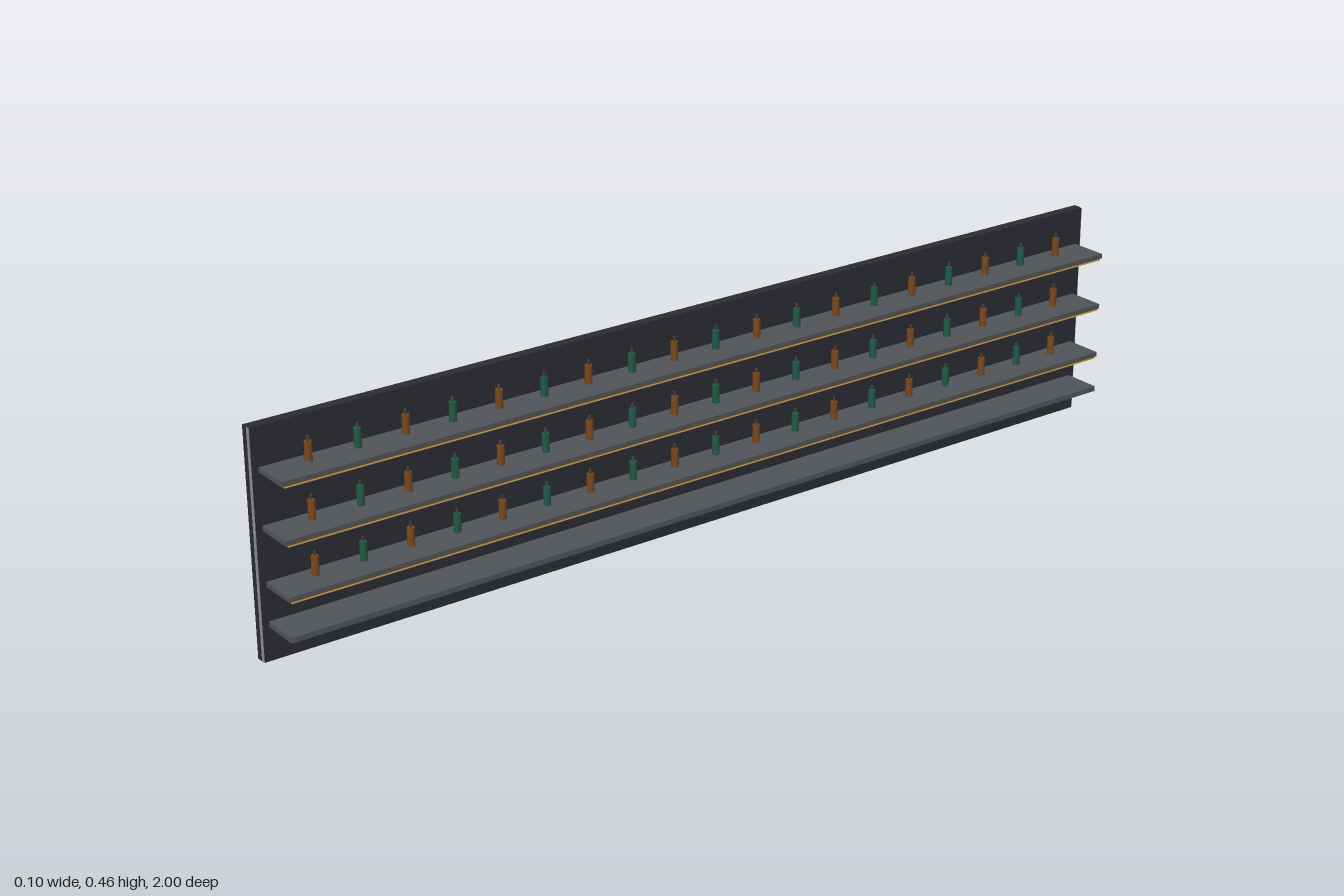
import * as THREE from 'three';

const mat = (name, color) => Object.assign(new THREE.MeshStandardMaterial({ color }), { name });

export function createModel() {
  const wallMat = mat('charcoal wall', 0x2b2b34);
  const trimMat = mat('light grey trim', 0x8f8f96);
  const shelfMat = mat('slate shelf', 0x505458);
  const lightMat = mat('amber light', 0xe0a040);
  const brownMat = mat('brown glass', 0x7a481c);
  const greenMat = mat('green glass', 0x1f5a44);
  const neckMat = mat('dark neck', 0x45403c);

  const model = new THREE.Group();
  model.name = 'wallShelf';

  // Box given by its limits in x and y and its length, centred on z
  const box = (name, x0, x1, y0, y1, length, material, z = 0, parent = model) => {
    const mesh = new THREE.Mesh(new THREE.BoxGeometry(x1 - x0, y1 - y0, length), material);
    mesh.name = name;
    mesh.position.set((x0 + x1) / 2, (y0 + y1) / 2, z);
    parent.add(mesh);
    return mesh;
  };

  // Back wall with a pale strip on each end
  box('backWall', -0.052, -0.03, 0, 0.459, 1.997, wallMat);
  for (const s of [-1, 1]) {
    box('endTrim', -0.038, -0.0305, 0.001, 0.458, 0.002, trimMat, s * 0.999);
    box('endWall', -0.052, -0.038, 0, 0.459, 0.0015, wallMat, s * 0.99925);
  }

  // Plain counter shelf at the bottom
  box('lowerShelf', -0.03, 0.052, 0.068, 0.079, 1.97, shelfMat);

  // Display shelves with a light strip below the front edge and a row of bottles
  const bodyGeo = new THREE.CylinderGeometry(0.0075, 0.0075, 0.038, 8);
  const neckGeo = new THREE.CylinderGeometry(0.0027, 0.0027, 0.01, 8);
  for (const top of [0.158, 0.268, 0.381]) {
    const unit = new THREE.Group();
    unit.name = 'displayShelf';
    model.add(unit);
    box('shelfBoard', -0.03, 0.052, top - 0.01, top, 1.97, shelfMat, 0, unit);
    box('lightStrip', 0.048, 0.052, top - 0.0135, top - 0.01, 1.96, lightMat, 0, unit);
    for (let i = 0; i < 19; i++) {
      const bottle = new THREE.Group();
      bottle.name = 'bottle';
      const body = new THREE.Mesh(bodyGeo, i % 2 ? greenMat : brownMat);
      body.name = 'bottleBody';
      body.position.y = 0.019;
      const neck = new THREE.Mesh(neckGeo, neckMat);
      neck.name = 'bottleNeck';
      neck.position.y = 0.043;
      bottle.add(body, neck);
      bottle.position.set(-0.0025, top, 0.9 - i * 0.1);
      unit.add(bottle);
    }
  }
  return model;
}
